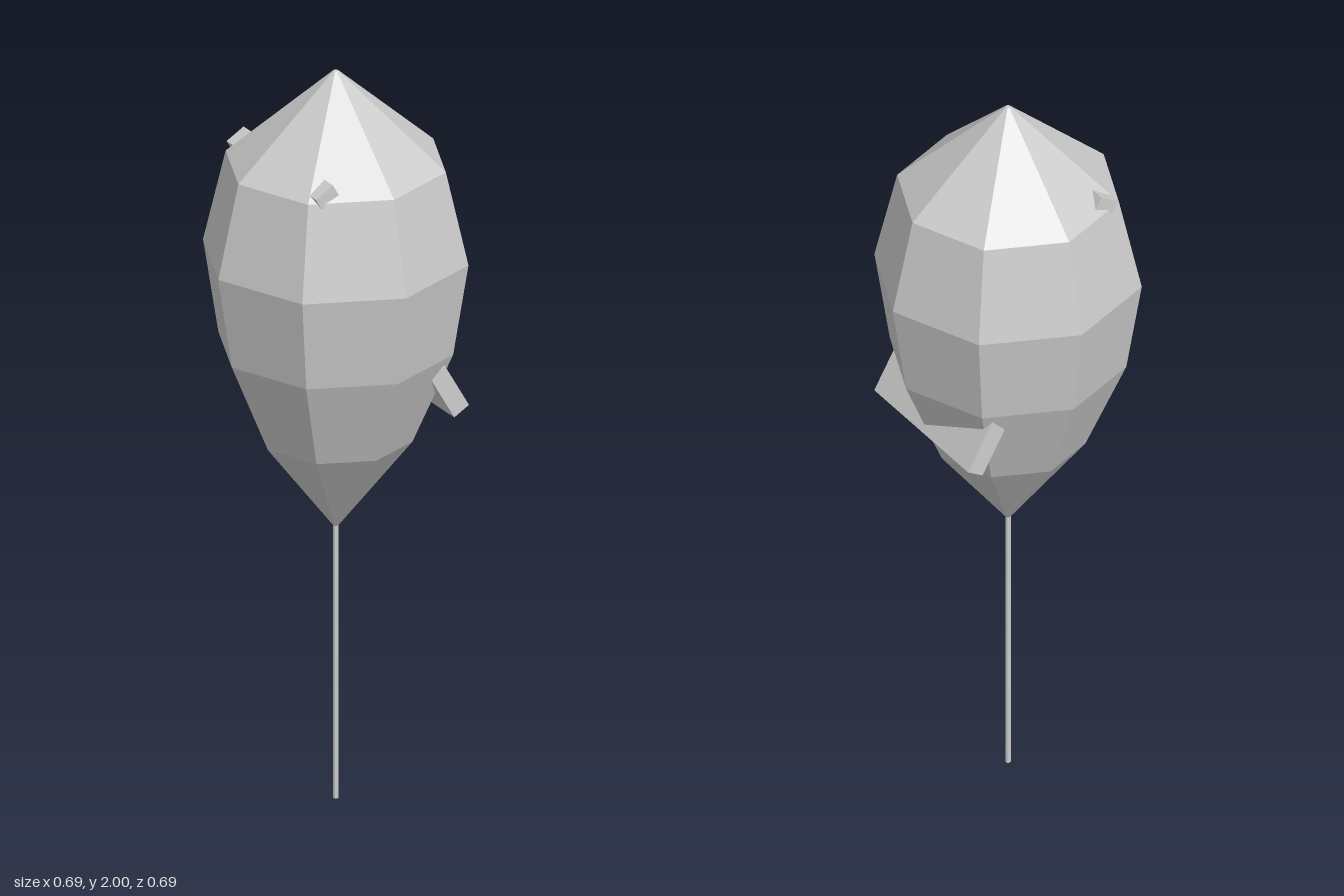
import * as THREE from 'three';

export function createModel() {
  const model = new THREE.Group();
  model.name = 'balloonOnStick';
  const grey = new THREE.MeshStandardMaterial({ color: 0xcccccc, flatShading: true });
  grey.name = 'light grey';

  const add = (name, geometry, x, y, tilt = 0) => {
    const mesh = new THREE.Mesh(geometry, grey);
    mesh.name = name;
    mesh.position.set(x, y, 0);
    mesh.rotation.z = tilt;
    model.add(mesh);
    return mesh;
  };

  // Eight-sided faceted body, from the pointed bottom to the tip
  const profile = [[0.007, 0.75], [0.2, 1], [0.306, 1.25], [0.346, 1.5], [0.287, 1.75], [0.007, 2]]
    .map(([r, y]) => new THREE.Vector2(r, y));
  add('body', new THREE.LatheGeometry(profile, 8), 0, 0);

  // Thin stick running up through the body to the tip
  add('stick', new THREE.CylinderGeometry(0.007, 0.007, 2, 8), 0, 1);

  // Tilted bars crossing the body from side to side
  const tilt = Math.PI / 6;
  add('lowerBar', new THREE.BoxGeometry(0.05, 0.145, 0.44), 0.203, 1.154, tilt);
  add('upperBar', new THREE.BoxGeometry(0.058, 0.1, 0.44), -0.14, 1.738, tilt);

  return model;
}
